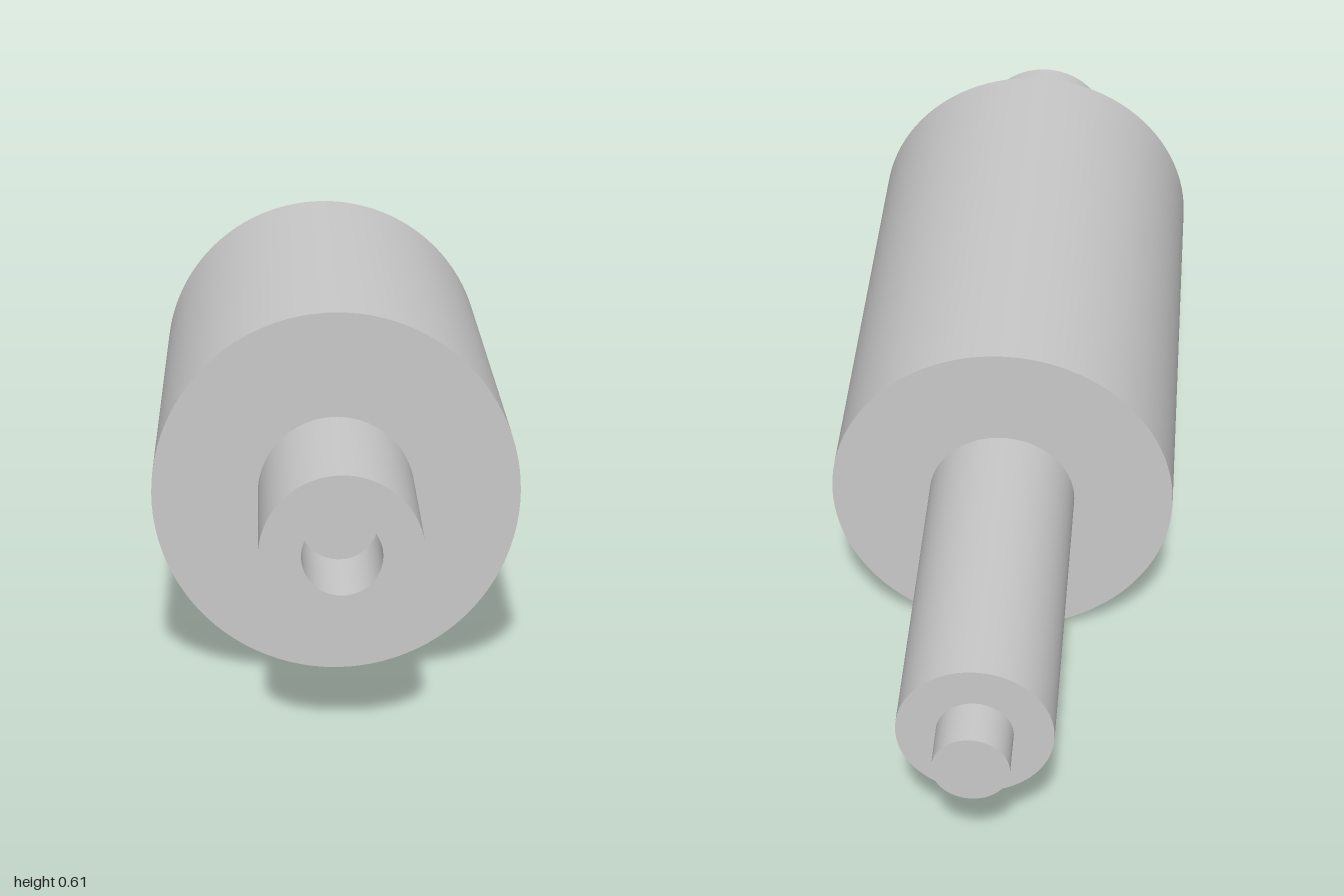
import * as THREE from 'three';
import { mergeGeometries } from 'three/addons/utils/BufferGeometryUtils.js';

const SEGMENTS = 96;
const PIN = 0.063, SHAFT = 0.129, BODY = 0.304;

// Surface of revolution about z from [radius, z] points, back to front,
// smooth around the axis with a sharp edge at every profile point.
function turned(profile) {
  const bands = [];
  for (let i = 0; i < profile.length - 1; i++) {
    const ends = [profile[i], profile[i + 1]].map(([r, z]) => new THREE.Vector2(r, z));
    bands.push(new THREE.LatheGeometry(ends, SEGMENTS));
  }
  return mergeGeometries(bands).rotateX(Math.PI / 2);
}

export function createModel() {
  const group = new THREE.Group();
  group.name = 'roller';
  const steel = new THREE.MeshStandardMaterial({ color: 0xc8c8c8 });
  steel.name = 'steel grey';

  const parts = {
    // small closed pin at the back end
    endPin: [[0, -1], [PIN, -1], [PIN, -0.914]],
    // long rear shaft with a shoulder around the pin
    rearShaft: [[PIN, -0.914], [SHAFT, -0.914], [SHAFT, -0.296]],
    // thick drum with annular end faces
    drum: [[SHAFT, -0.296], [BODY, -0.296], [BODY, 0.659], [SHAFT, 0.659]],
    // short front shaft with a blind socket bored into its end
    frontShaft: [[SHAFT, 0.659], [SHAFT, 1], [PIN, 1], [PIN, 0.82], [0, 0.82]],
  };

  for (const [name, profile] of Object.entries(parts)) {
    const mesh = new THREE.Mesh(turned(profile), steel);
    mesh.name = name;
    mesh.position.y = BODY;
    group.add(mesh);
  }
  return group;
}
